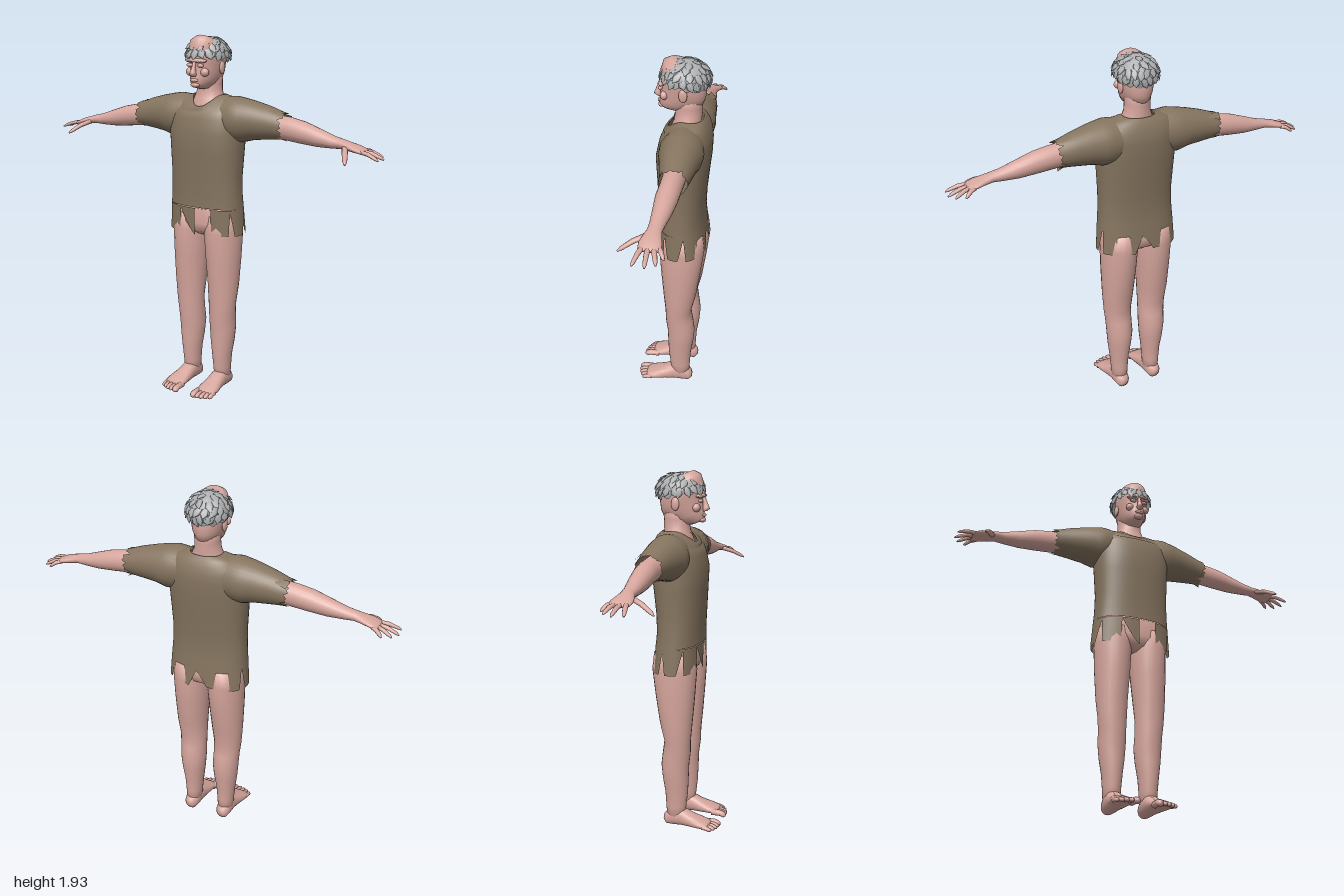
import * as THREE from 'three';

const V = (x, y, z) => new THREE.Vector3(x, y, z);
const skin = new THREE.MeshStandardMaterial({ color: 0xd6a69d });
skin.name = 'skin';
const cloth = new THREE.MeshStandardMaterial({ color: 0x85745f, side: THREE.DoubleSide });
cloth.name = 'brown cloth';
const hair = new THREE.MeshStandardMaterial({ color: 0xacaeaf, side: THREE.DoubleSide });
hair.name = 'grey hair';

// Skin a list of equal-length point rings
function loft(rings, closed = true) {
  const n = rings[0].length, idx = [];
  for (let r = 0; r + 1 < rings.length; r++)
    for (let i = 0; i < (closed ? n : n - 1); i++) {
      const j = (i + 1) % n, a = r * n + i, b = a + n, c = r * n + j, d = c + n;
      idx.push(a, b, c, c, b, d);
    }
  const g = new THREE.BufferGeometry();
  g.setAttribute('position', new THREE.Float32BufferAttribute(rings.flat().flatMap(p => [p.x, p.y, p.z]), 3));
  g.setIndex(idx);
  g.computeVertexNormals();
  return g;
}

// Tapered tube through [x, y, z, sideRadius, upRadius] stations
function tube(path, up, { seg = 20, cap = true, pow = 1, edit } = {}) {
  const at = p => V(p[0], p[1], p[2]);
  const T = at(path[path.length - 1]).sub(at(path[0])).normalize();
  const S = T.clone().cross(up).normalize(), U = S.clone().cross(T);
  const sp = v => Math.sign(v) * Math.abs(v) ** pow;
  const rings = path.map((p, r) => Array.from({ length: seg }, (_, i) => {
    const a = i / seg * Math.PI * 2;
    const q = at(p).addScaledVector(S, p[3] * sp(Math.cos(a))).addScaledVector(U, p[4] * sp(Math.sin(a)));
    if (edit) edit(q, r, a, i);
    return q;
  }));
  if (cap) {
    rings.unshift(rings[0].map(() => at(path[0])));
    rings.push(rings[0].map(() => at(path[path.length - 1])));
  }
  return loft(rings);
}

function mirrored(g) {
  const m = g.clone().scale(-1, 1, 1), ix = m.index.array;
  for (let i = 0; i < ix.length; i += 3) [ix[i], ix[i + 1]] = [ix[i + 1], ix[i]];
  m.computeVertexNormals();
  return m;
}

export function createModel() {
  const model = new THREE.Group();
  model.name = 'man';
  const X = V(1, 0, 0), Y = V(0, 1, 0), Z = V(0, 0, 1);
  const add = (name, g, mat) => {
    const m = new THREE.Mesh(g, mat);
    m.name = name;
    model.add(m);
  };
  const pair = (name, g, mat) => {
    add(name + 'Left', g, mat);
    add(name + 'Right', mirrored(g), mat);
  };
  const ball = (x, y, z, a, b, c) => new THREE.SphereGeometry(1, 16, 10).scale(a, b, c).translate(x, y, z);

  // Legs and hips
  pair('leg', tube([
    [.1, .05, -.052, .042, .05], [.1, .12, -.05, .046, .056], [.1, .2, -.048, .053, .063],
    [.1, .28, -.053, .065, .071], [.1, .36, -.055, .072, .076], [.102, .43, -.046, .072, .076],
    [.105, .5, -.04, .077, .071], [.106, .6, -.047, .084, .088], [.103, .75, -.052, .093, .106],
    [.1, .9, -.056, .099, .121], [.1, .99, -.056, .09, .11]], Z, { seg: 24 }), skin);
  add('hips', tube([[0, .875, -.057, .06, .06], [0, .9, -.057, .15, .1], [0, .95, -.055, .19, .115],
    [0, 1.12, -.05, .18, .1]], Z, { seg: 28, pow: .85 }), skin);

  // Feet with five toes each
  pair('foot', tube([
    [.1, .045, -.118, .018, .02], [.1, .045, -.1, .036, .04], [.1, .058, -.06, .043, .054],
    [.1, .056, -.015, .044, .05], [.102, .042, .04, .05, .036], [.105, .033, .09, .058, .026],
    [.105, .026, .13, .057, .017], [.105, .024, .142, .045, .01]], Y, { pow: .9 }), skin);
  for (let i = 0; i < 5; i++) {
    const x = [.06, .087, .11, .132, .153][i], e = [.19, .19, .185, .175, .162][i], r = i ? .0115 : .017;
    pair('toe' + (i + 1), tube([[x, .024, .11, r, r], [x, .024, e - .03, r, r], [x, .017, e - .012, r * 1.1, r],
      [x, .015, e, r * .55, r * .5]], Y, { seg: 10 }), skin);
  }

  // Arms and palms
  pair('arm', tube([
    [.25, 1.49, -.07, .06, .065], [.4, 1.482, -.073, .056, .06], [.48, 1.475, -.073, .054, .06],
    [.56, 1.463, -.07, .054, .056], [.65, 1.445, -.068, .046, .045], [.73, 1.432, -.064, .037, .031],
    [.78, 1.428, -.062, .034, .024], [.82, 1.42, -.06, .043, .021], [.86, 1.412, -.06, .053, .018],
    [.895, 1.402, -.062, .052, .013], [.905, 1.4, -.062, .042, .007]], Y), skin);

  // Fingers as [root, tip], the last is the thumb
  [[.875, 1.405, -.1, .93, 1.378, -.133], [.885, 1.404, -.08, .972, 1.375, -.107],
    [.885, 1.404, -.055, .995, 1.372, -.062], [.885, 1.404, -.03, .99, 1.374, -.005],
    [.805, 1.415, -.03, .865, 1.357, .088]].forEach((f, i) => {
    const r = i === 4 ? .015 : .0125;
    const st = [[0, 1], [.45, .95], [.85, .75], [1, .3]].map(([t, k]) => [
      f[0] + (f[3] - f[0]) * t, f[1] + (f[4] - f[1]) * t + .008 * Math.sin(t * Math.PI), f[2] + (f[5] - f[2]) * t, r * k, r * k * .85]);
    pair(i === 4 ? 'thumb' : 'finger' + (i + 1), tube(st, Y, { seg: 10 }), skin);
  });

  // Neck and head
  add('neck', tube([[0, 1.46, -.06, .13, .09], [0, 1.56, -.058, .105, .08], [0, 1.6, -.066, .085, .07],
    [0, 1.64, -.07, .068, .068], [0, 1.68, -.07, .066, .069], [0, 1.76, -.075, .068, .07]], Z), skin);
  add('head', tube([[0, 1.664, .045, .022, .03], [0, 1.672, .025, .042, .058], [0, 1.695, -.005, .061, .085],
    [0, 1.73, -.035, .074, .112], [0, 1.77, -.043, .083, .12], [0, 1.82, -.045, .09, .124],
    [0, 1.87, -.047, .084, .11], [0, 1.9, -.05, .055, .075]], Z, { seg: 28 }), skin);
  add('nose', tube([[0, 1.722, .08, .012, .01], [0, 1.732, .086, .02, .019], [0, 1.742, .085, .015, .017],
    [0, 1.77, .078, .009, .012], [0, 1.795, .073, .008, .008]], Z, { seg: 12 }), skin);
  add('lips', ball(0, 1.702, .076, .026, .009, .009), skin);
  add('chin', ball(0, 1.678, .066, .026, .014, .018), skin);
  add('browRidge', ball(0, 1.8, .058, .068, .013, .022), skin);
  pair('eyelid', ball(.033, 1.777, .066, .019, .01, .011), skin);
  pair('cheek', ball(.045, 1.742, .046, .024, .022, .02), skin);
  pair('ear', ball(.086, 1.762, -.055, .011, .034, .022).rotateX(0), skin);
  pair('eyebrow', tube([[.014, 1.796, .079, .003, .002], [.034, 1.8, .077, .004, .003],
    [.06, 1.796, .06, .003, .002]], Z, { seg: 8 }), hair);

  // Hair cap with a ragged edge, higher over the face
  const dome = (a, e, k = 1) => V(.11 * Math.cos(a) * Math.cos(e) * k, 1.825 + .093 * Math.sin(e) * k,
    -.053 + .125 * Math.sin(a) * Math.cos(e) * k);
  const capRings = [0, .2, .4, .6, .8, 1].map((t, r) => Array.from({ length: 48 }, (_, i) => {
    const a = i / 48 * Math.PI * 2;
    const low = -.27 + .27 * Math.sin(a) + (i % 4 < 2 ? .1 : -.06);
    return dome(a, low + (Math.PI / 2 - low) * t, r ? 1 : 1.01);
  }));
  add('hairCap', loft(capRings), hair);

  // Layered locks
  let seed = 7;
  const rnd = () => (seed = (seed * 16807) % 2147483647) / 2147483647;
  [[22, .1, .45], [18, .5, .5], [12, .9, .5], [7, 1.25, .45]].forEach(([n, e0, len], layer) => {
    for (let i = 0; i < n; i++) {
      const a = (i + rnd() * .6) / n * Math.PI * 2, e = e0 + .12 * Math.sin(a) + rnd() * .12;
      const b = a + (rnd() - .5) * .5, l = len * (.75 + rnd() * .4), w = .017 + rnd() * .006;
      const st = [[0, 1, .7], [.5, 1.035, 1], [1, 1.09, .08]].map(([t, k, s]) => {
        const p = dome(a + (b - a) * t, e - l * t, k);
        return [p.x, p.y, p.z, w * s, .004 * s];
      });
      add('lock' + layer + '_' + i, tube(st, dome(a, e).sub(V(0, 1.825, -.053)), { seg: 6 }), hair);
    }
  });

  // Shirt body, dipping to a V at the front of the neck
  const dip = { 6: [.012, .005], 7: [.04, .012], 8: [.06, .045], 9: [.06, .04] };
  add('shirtBody', tube([
    [0, 1.03, -.048, .211, .121], [0, 1.1, -.045, .206, .117], [0, 1.2, -.044, .203, .122],
    [0, 1.32, -.047, .209, .131], [0, 1.42, -.05, .214, .139], [0, 1.5, -.06, .21, .132],
    [0, 1.54, -.066, .204, .122], [0, 1.575, -.072, .19, .105], [0, 1.605, -.076, .16, .086],
    [0, 1.622, -.075, .085, .07]], Z, {
    seg: 48, cap: false, pow: .85,
    edit: (q, r, a) => {
      const f = Math.max(0, Math.sin(a)) ** 3;
      if (dip[r]) { q.y -= dip[r][0] * f; q.z += dip[r][1] * f; }
    },
  }), cloth);

  // Torn hem as [angle, height], equal angles make vertical rips
  const hem = [[0, .89], [22, .89], [30, 1.02], [36, .89], [67, .89], [67, 1.03], [90, 1.03], [90, .885],
    [113, 1.025], [113, .89], [148, .89], [152, 1.02], [166, .89], [188, .89], [197, 1.01], [204, .89],
    [228, .885], [238, .97], [247, .89], [262, .9], [273, .98], [283, .885], [305, .89], [316, .97],
    [322, .89], [343, .89], [347, 1.02], [360, .89]];
  const low = [], high = [], sp = v => Math.sign(v) * Math.abs(v) ** .85;
  hem.slice(1).forEach(([d1, y1], i) => {
    const [d0, y0] = hem[i];
    for (let s = 0; s <= 6; s++) {
      const a = (d0 + (d1 - d0) * s / 6) * Math.PI / 180, y = y0 + (y1 - y0) * s / 6, k = (1.03 - y) / .14;
      low.push(V((.211 + .01 * k) * sp(Math.cos(a)), y, -.048 - .006 * k + (.121 + .005 * k) * sp(Math.sin(a))));
      high.push(V(.211 * sp(Math.cos(a)), 1.031, -.048 + .121 * sp(Math.sin(a))));
    }
  });
  add('tornHem', loft([low, high], false), cloth);

  // Sleeves with frayed cuffs
  pair('sleeve', tube([
    [.08, 1.508, -.068, .095, .105], [.17, 1.503, -.066, .112, .117], [.22, 1.498, -.068, .108, .114],
    [.28, 1.5, -.071, .096, .1], [.36, 1.495, -.076, .082, .085], [.42, 1.488, -.078, .072, .072],
    [.452, 1.484, -.078, .069, .067]], Y, {
    seg: 32, cap: false,
    edit: (q, r, a, i) => { if (r === 6) q.x += [.006, -.004, .002, -.03, .008, 0, .01, -.012][i % 8]; },
  }), cloth);
  // Loose scraps of cloth at the cuffs
  const scrap = (...p) => loft([[p[0], p[1]], [p[2], p[3]]], false);
  add('cuffScrapRight', scrap(V(-.38, 1.56, -.1), V(-.38, 1.55, -.13), V(-.46, 1.56, -.11), V(-.45, 1.53, -.145)), cloth);
  add('cuffScrapLeft', scrap(V(.4, 1.43, -.1), V(.4, 1.43, -.06), V(.455, 1.405, -.1), V(.44, 1.42, -.06)), cloth);
  return model;
}
